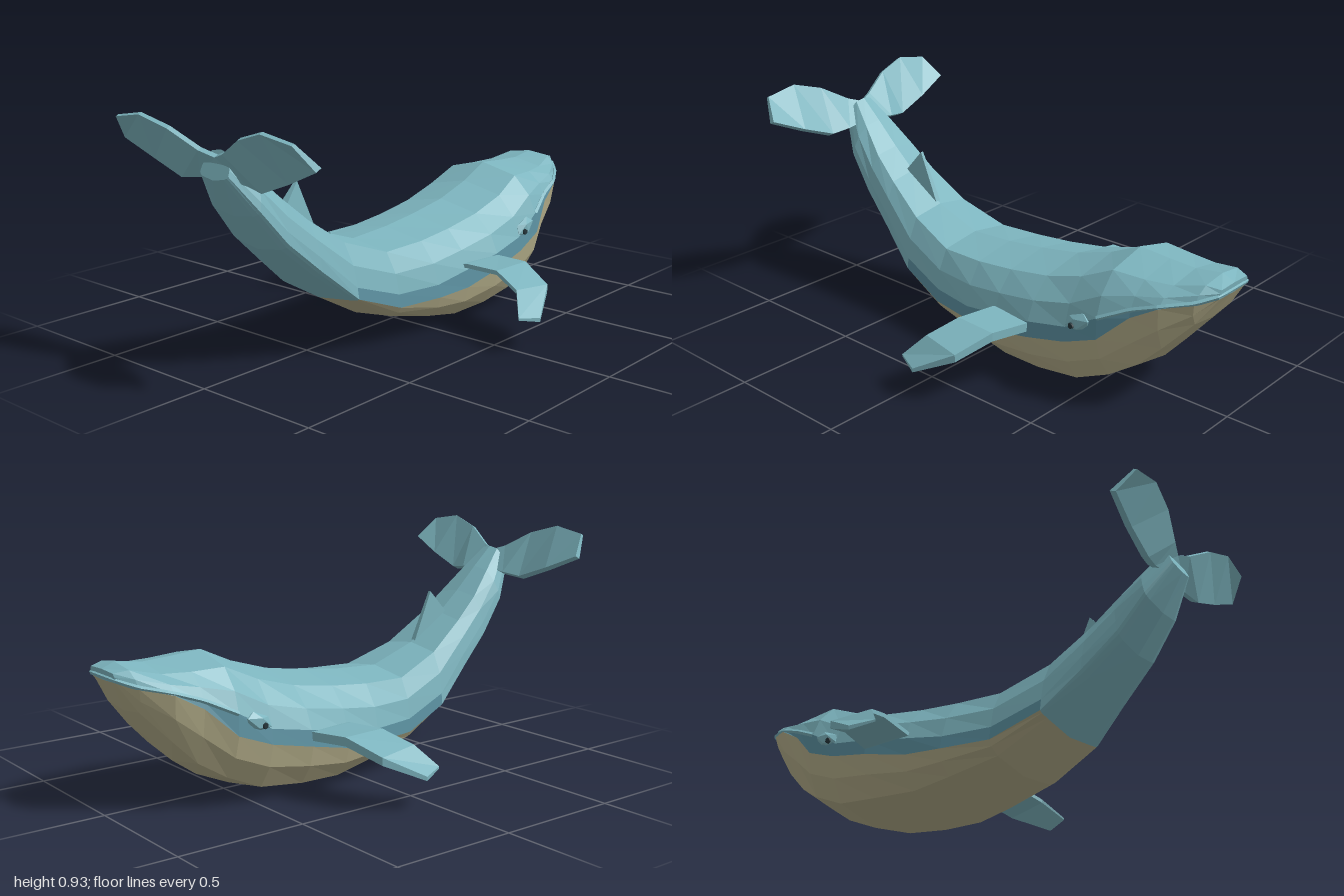
import * as THREE from 'three';
import { ConvexGeometry } from 'three/addons/geometries/ConvexGeometry.js';

const mat = (name, color) => {
  const m = new THREE.MeshStandardMaterial({ color });
  m.name = name;
  return m;
};

// Skins a row of closed rings with flat facets; pick(i, j) says which facets to keep.
function loft(rings, pick = () => true, caps = true) {
  const pos = [];
  const tri = (...pts) => pts.forEach((p) => pos.push(...p));
  const n = rings[0].length;
  for (let i = 0; i < rings.length - 1; i++) {
    for (let j = 0; j < n; j++) {
      if (!pick(i, j)) continue;
      const k = (j + 1) % n;
      const [a, b, c, d] = [rings[i][j], rings[i + 1][j], rings[i + 1][k], rings[i][k]];
      tri(a, d, c);
      tri(a, c, b);
    }
  }
  if (caps) {
    const s = rings[0], e = rings[rings.length - 1];
    for (let j = 1; j < n - 1; j++) {
      tri(s[0], s[j + 1], s[j]);
      tri(e[0], e[j], e[j + 1]);
    }
  }
  const g = new THREE.BufferGeometry();
  g.setAttribute('position', new THREE.Float32BufferAttribute(pos, 3));
  g.computeVertexNormals();
  return g;
}

// Tapered plate through sections [leading point, trailing point, half thickness].
function plate(sections, nx, ny) {
  return loft(sections.map(([l, t, h]) => {
    const off = (p, s) => [p[0] + nx * s, p[1] + ny * s, p[2]];
    return [off(l, h), off(t, h * 0.5), off(t, -h * 0.5), off(l, -h)];
  }));
}

// Body stations, tail to snout: top x,y, bottom x,y, ridge half width,
// half width, then the band's upper and lower edge as a fraction of the height.
const stations = [
  [-0.89, 0.82, -0.93, 0.72, 0.04, 0.07, 0.6, 0.8],
  [-0.80, 0.74, -0.84, 0.58, 0.07, 0.125, 0.6, 0.8],
  [-0.70, 0.645, -0.73, 0.44, 0.1, 0.145, 0.6, 0.8],
  [-0.60, 0.56, -0.58, 0.31, 0.115, 0.17, 0.6, 0.82],
  [-0.44, 0.45, -0.43, 0.19, 0.14, 0.205, 0.7, 0.87],
  [-0.24, 0.38, -0.23, 0.08, 0.17, 0.235, 0.6, 0.77],
  [-0.05, 0.39, -0.03, 0.03, 0.18, 0.27, 0.53, 0.67],
  [0.12, 0.41, 0.12, 0.0, 0.18, 0.285, 0.45, 0.62],
  [0.30, 0.44, 0.30, 0.005, 0.18, 0.3, 0.42, 0.56],
  [0.46, 0.49, 0.48, 0.02, 0.18, 0.288, 0.43, 0.55],
  [0.59, 0.55, 0.62, 0.08, 0.165, 0.275, 0.4, 0.57],
  [0.72, 0.54, 0.72, 0.15, 0.15, 0.235, 0.31, 0.385],
  [0.83, 0.535, 0.81, 0.25, 0.13, 0.213, 0.28, 0.3],
  [0.94, 0.55, 0.91, 0.37, 0.1, 0.15, 0.39, 0.42],
  [0.99, 0.53, 0.985, 0.49, 0.08, 0.09, 0.65, 0.7],
];

function bodyRing([tx, ty, bx, by, ridge, w, m, c]) {
  const half = [
    [0, 0], [0.08, ridge], [0.08 + (m - 0.08) * 0.5, ridge + (w - ridge) * 0.65], [m, w * 0.97],
    [c, w], [(c + 0.92) / 2, w * 0.94], [0.92, w * 0.76], [1, 0],
  ].map(([t, z]) => [tx + (bx - tx) * t, ty + (by - ty) * t, z]);
  const mirrored = half.slice(1, -1).reverse().map(([x, y, z]) => [x, y, -z]);
  return [...half, ...mirrored];
}

export function createModel() {
  const blue = mat('seaBlue', 0x7db5bf);
  const deep = mat('deepBlue', 0x5b90a0);
  const cream = mat('bellyCream', 0xb5af8b);
  const dark = mat('eyeDark', 0x25353a);

  const whale = new THREE.Group();
  whale.name = 'whale';
  const add = (name, geo, material, parent = whale) => {
    const mesh = new THREE.Mesh(geo, material);
    mesh.name = name;
    parent.add(mesh);
    return mesh;
  };

  // Body, split by colour along its length
  const rings = stations.map(bodyRing);
  const zone = (i, j) => {
    const row = Math.min(j, 13 - j);
    if (i < 4 || row < 3) return 'back';
    return row === 3 ? 'band' : 'belly';
  };
  add('back', loft(rings, (i, j) => zone(i, j) === 'back'), blue);
  add('sideBand', loft(rings, (i, j) => zone(i, j) === 'band', false), deep);
  add('belly', loft(rings, (i, j) => zone(i, j) === 'belly', false), cream);

  // Lip running round the mouth
  const lipSide = rings.slice(10).map((r) => new THREE.Vector3(...r[3]));
  const lipPath = new THREE.CurvePath();
  const lipPts = [...lipSide, ...lipSide.slice().reverse().map((p) => new THREE.Vector3(p.x, p.y, -p.z))];
  for (let i = 1; i < lipPts.length; i++) lipPath.add(new THREE.LineCurve3(lipPts[i - 1], lipPts[i]));
  add('lip', new THREE.TubeGeometry(lipPath, 36, 0.009, 4).toNonIndexed(), blue).geometry.computeVertexNormals();

  // Dorsal fin
  const fin = [[-0.62, 0.56, 0.02], [-0.6, 0.5, 0.02], [-0.44, 0.43, 0.012], [-0.54, 0.655, 0.006]];
  add('dorsalFin', new ConvexGeometry(
    fin.flatMap(([x, y, z]) => [new THREE.Vector3(x, y, z), new THREE.Vector3(x, y, -z)])), blue);

  const flipperGeo = plate([
    [[0.30, 0.23, 0.25], [0.11, 0.235, 0.23], 0.017],
    [[0.30, 0.235, 0.30], [0.11, 0.245, 0.28], 0.017],
    [[0.27, 0.243, 0.45], [0.09, 0.252, 0.44], 0.017],
    [[0.215, 0.192, 0.59], [0.045, 0.212, 0.565], 0.015],
    [[0.065, 0.118, 0.66], [-0.025, 0.135, 0.625], 0.008],
  ], 0, 1);
  const flukeGeo = plate([
    [[-0.87, 0.73, 0.0], [-0.91, 0.80, 0.0], 0.018],
    [[-0.865, 0.715, 0.12], [-0.93, 0.82, 0.06], 0.018],
    [[-0.88, 0.705, 0.20], [-0.965, 0.885, 0.175], 0.017],
    [[-0.89, 0.755, 0.335], [-0.985, 0.922, 0.30], 0.015],
    [[-0.91, 0.815, 0.475], [-0.98, 0.90, 0.435], 0.013],
  ], 0.9, 0.45);

  // Paired parts, mirrored across the body
  for (const side of [1, -1]) {
    const pair = new THREE.Group();
    pair.name = side > 0 ? 'nearSideParts' : 'farSideParts';
    pair.scale.z = side;
    whale.add(pair);
    add('flipper', flipperGeo, blue, pair);
    add('tailFluke', flukeGeo, blue, pair);

    // Brow bump and eye
    const brow = add('brow', new THREE.IcosahedronGeometry(1, 0), blue, pair);
    brow.position.set(0.52, 0.318, 0.265);
    brow.scale.set(0.065, 0.036, 0.025);
    brow.rotation.z = 0.4;
    const eye = add('eye', new THREE.CylinderGeometry(0.011, 0.013, 0.008, 6), dark, pair);
    eye.rotation.x = Math.PI / 2;
    eye.position.set(0.502, 0.306, 0.287);
  }
  return whale;
}
